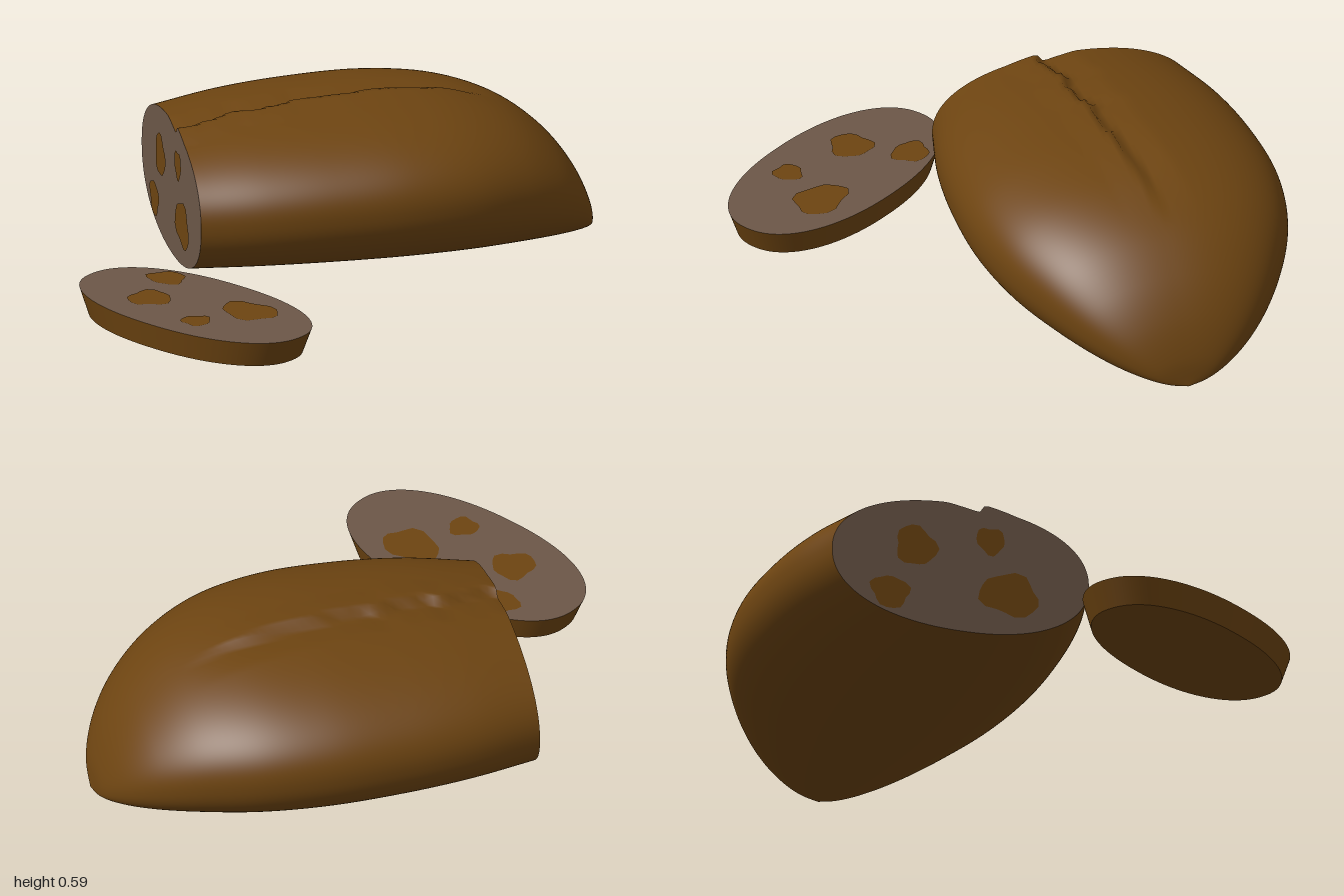
import * as THREE from 'three';

const SEG = 200;
const crust = new THREE.MeshStandardMaterial({ color: 0x6d4411 });
crust.name = 'crust brown';
const crumb = new THREE.MeshStandardMaterial({ color: 0x6c5748 });
crumb.name = 'crumb grey brown';

// Rounded cross-section of the bread, centred on the origin
function section(halfWidth, halfHeight) {
  const bulge = v => Math.sign(v) * Math.pow(Math.abs(v), 2 / 2.2);
  return Array.from({ length: SEG }, (_, j) => {
    const a = (j / SEG) * Math.PI * 2;
    return new THREE.Vector2(halfWidth * bulge(Math.cos(a)), halfHeight * bulge(Math.sin(a)));
  });
}

// Skin over closed rings of points
function loft(rings) {
  const position = [], index = [];
  rings.forEach((ring, i) => ring.forEach((p, j) => {
    position.push(p.x, p.y, p.z);
    if (i === rings.length - 1) return;
    const k = (j + 1) % SEG, a = i * SEG + j, c = i * SEG + k;
    index.push(a, a + SEG, c, a + SEG, c + SEG, c);
  }));
  const g = new THREE.BufferGeometry();
  g.setAttribute('position', new THREE.Float32BufferAttribute(position, 3));
  g.setIndex(index);
  g.computeVertexNormals();
  return g;
}

function add(parent, name, geometry, material) {
  const mesh = new THREE.Mesh(geometry, material);
  mesh.name = name;
  parent.add(mesh);
  return mesh;
}

// Cut surface with irregular dark patches: [across, up, radius across, radius up]
const patches = [
  [-0.275, -0.14, 0.075, 0.065],
  [-0.175, 0.06, 0.08, 0.08],
  [0.19, -0.085, 0.115, 0.085],
  [0.117, 0.124, 0.055, 0.055],
];
function cutFace(outline, flip) {
  const face = new THREE.Group();
  face.name = 'cutFace';
  add(face, 'crumbFace', new THREE.ShapeGeometry(new THREE.Shape(outline)), crumb);
  patches.forEach(([x, y, rx, ry], n) => {
    const pts = Array.from({ length: 18 }, (_, i) => {
      const a = (i / 18) * Math.PI * 2;
      const r = 1 + 0.1 * Math.sin(3 * a + n * 2) + 0.07 * Math.sin(5 * a + n);
      return new THREE.Vector2(x + rx * r * Math.cos(a), flip * (y + ry * r * Math.sin(a)));
    });
    add(face, 'crumbPatch', new THREE.ShapeGeometry(new THREE.Shape(pts)), crust).position.z = 0.003;
  });
  return face;
}

// Height offset of the baked split along the top: a raised lip and a hollow behind it
function split(t, z) {
  const wave = 0.012 * Math.sin(t * 23) + 0.007 * Math.sin(t * 51);
  const s = z - (0.1 - 0.095 * t) - wave * (1 - THREE.MathUtils.smoothstep(t, 0.4, 0.8));
  const fade = 1 - THREE.MathUtils.smoothstep(t, 0.85, 1.25);
  const lip = THREE.MathUtils.smoothstep(s, -0.03, 0);
  const hollow = -0.026 * Math.max(0, 1 + Math.min(s, 0) / 0.15);
  const ridge = 0.012 * Math.max(0, 1 - Math.max(s, 0) / 0.12);
  return fade * THREE.MathUtils.lerp(hollow, ridge, lip);
}

function makeLoaf() {
  const loaf = new THREE.Group();
  loaf.name = 'loaf';
  // Distance from the cut, height, half width
  const profile = new THREE.CatmullRomCurve3([
    [0, 0.515, 0.5], [0.25, 0.55, 0.56], [0.5, 0.57, 0.59], [0.8, 0.577, 0.592],
    [1.05, 0.55, 0.545], [1.25, 0.48, 0.455], [1.4, 0.37, 0.35], [1.5, 0.245, 0.24],
    [1.56, 0.11, 0.12], [1.577, 0.002, 0.002],
  ].map(p => new THREE.Vector3(...p)));
  const rings = profile.getPoints(72).map(({ x: t, y: h, z: w }) =>
    section(w, h / 2).map(p => {
      const y = p.y + h / 2;
      return new THREE.Vector3(t, y + (p.y > 0 ? split(t, p.x) : 0), p.x);
    }));
  add(loaf, 'loafCrust', loft(rings), crust);

  const outline = rings[0].map(p => new THREE.Vector2(p.z, p.y - 0.2575));
  const face = cutFace(outline, 1);
  face.position.y = 0.2575;
  face.rotation.y = -Math.PI / 2;
  loaf.add(face);
  loaf.position.set(-0.6, 0, -0.27);
  loaf.rotation.y = 0.18;
  return loaf;
}

function makeSlice() {
  const slice = new THREE.Group();
  slice.name = 'slice';
  const outline = section(0.515, 0.265).map(p => new THREE.Vector2(p.x, -p.y));
  const bottom = outline.map(p => p.clone().multiplyScalar(0.92));
  const ring = (pts, z) => pts.map(p => new THREE.Vector3(p.x, p.y, z));
  add(slice, 'sliceCrust', loft([ring(bottom, -0.1), ring(outline, 0)]), crust);
  const base = add(slice, 'sliceUnderside', new THREE.ShapeGeometry(new THREE.Shape(bottom)), crust);
  base.rotation.x = Math.PI;
  base.position.z = -0.1;
  slice.add(cutFace(outline, -1));

  // Lay the slice flat, turned diagonally
  const d = Math.SQRT1_2;
  const basis = new THREE.Matrix4().makeBasis(
    new THREE.Vector3(d, 0, d), new THREE.Vector3(d, 0, -d), new THREE.Vector3(0, 1, 0));
  slice.quaternion.setFromRotationMatrix(basis);
  slice.position.set(-0.545, 0.1, 0.58);
  return slice;
}

export function createModel() {
  const model = new THREE.Group();
  model.name = 'slicedBread';
  model.add(makeLoaf(), makeSlice());
  return model;
}
